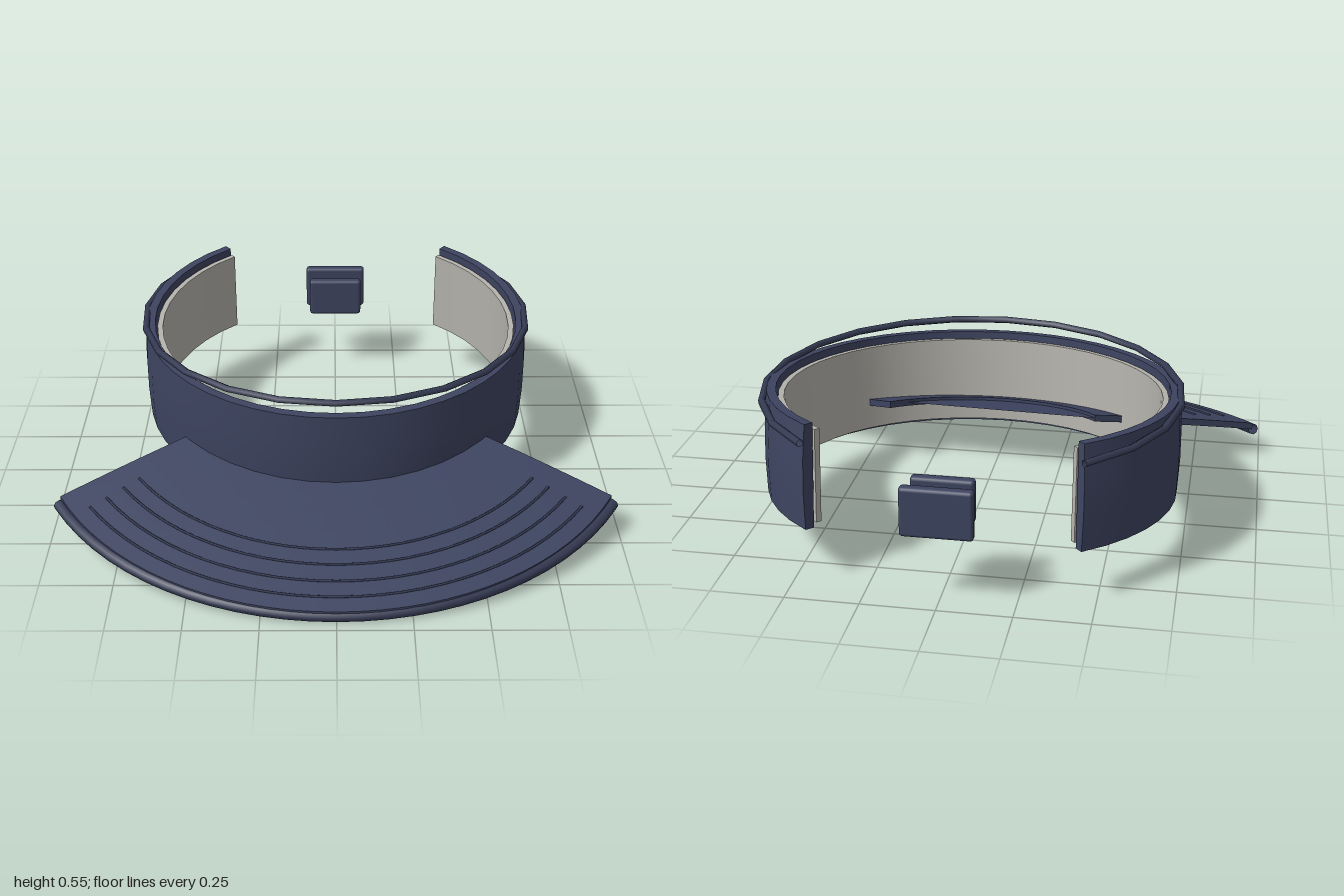
import * as THREE from 'three';
import { toCreasedNormals } from 'three/addons/utils/BufferGeometryUtils.js';
import { RoundedBoxGeometry } from 'three/addons/geometries/RoundedBoxGeometry.js';

const HEAD_Z = -0.33;   // centre of the headband
const BRIM_Z = -0.16;   // centre of the brim's arcs
const HALF_BAND = THREE.MathUtils.degToRad(141.2);
const HALF_BRIM = Math.PI / 3;

// Height of the brim's top: sloping forward, drooping to the sides
const brimY = (x, z) => 0.297 - 0.255 * z - 0.057 * x * x;

function brimPoint(r, angle, lift = 0, stretch = 1) {
  const x = r * stretch * Math.sin(angle);
  const z = BRIM_Z + r * Math.cos(angle);
  return new THREE.Vector3(x, brimY(x, z) + lift, z);
}

export function createModel() {
  const model = new THREE.Group();
  const material = (name, color) =>
    new THREE.MeshStandardMaterial({ name, color, side: THREE.DoubleSide });
  const navy = material('navy', 0x3d4460);
  const darkNavy = material('darkNavy', 0x353b54);
  const cream = material('cream', 0xb5b3ac);

  function add(name, geometry, mat, parent = model) {
    const mesh = new THREE.Mesh(geometry, mat);
    mesh.name = name;
    parent.add(mesh);
    return mesh;
  }

  // Arc of tube through points given by a function of the angle
  function arcTube(name, half, count, radius, sides, mat, pointAt) {
    const points = [];
    for (let i = 0; i <= count; i++) points.push(pointAt(-half + (2 * half * i) / count));
    add(name, new THREE.TubeGeometry(new THREE.CatmullRomCurve3(points), count, radius, sides), mat);
  }

  // Open ring: closed section turned around the head, with end caps
  function openRing(name, section, mat, parent) {
    const points = section.map(([r, y]) => new THREE.Vector2(r, y));
    const ring = new THREE.LatheGeometry([...points, points[0]], 36, -HALF_BAND, 2 * HALF_BAND);
    add(name, toCreasedNormals(ring, 0.6), mat, parent);
    for (const side of [-1, 1]) {
      const cap = new THREE.ShapeGeometry(new THREE.Shape(points));
      cap.rotateY(side * HALF_BAND - Math.PI / 2);
      add(name + 'End', cap, mat, parent);
    }
  }

  // Headband, raised at the back, with its lining
  const headband = new THREE.Group();
  headband.name = 'headband';
  headband.position.set(0, 0.157, HEAD_Z);
  headband.rotation.x = 0.078;
  model.add(headband);
  openRing('band', [[0.685, 0], [0.718, 0], [0.724, 0.12], [0.723, 0.24], [0.714, 0.36], [0.682, 0.36]],
    navy, headband);
  openRing('sweatband', [[0.655, 0.015], [0.675, 0.015], [0.675, 0.335], [0.655, 0.335]],
    cream, headband);

  // Level piping around the top of the band
  arcTube('topPiping', HALF_BAND, 18, 0.013, 6, darkNavy,
    (a) => new THREE.Vector3(0.722 * Math.sin(a), 0.51, HEAD_Z + 0.725 * Math.cos(a)));

  // Brim: a slab bent into a curved sector
  const brim = new THREE.BoxGeometry(1, 1, 1, 32, 1, 8);
  const pos = brim.attributes.position;
  for (let i = 0; i < pos.count; i++) {
    const r = 0.45 + (pos.getZ(i) + 0.5) * 0.67;
    const p = brimPoint(r, pos.getX(i) * 2 * HALF_BRIM, (pos.getY(i) - 0.5) * 0.026);
    pos.setXYZ(i, p.x, p.y, p.z);
  }
  brim.computeVertexNormals();
  add('brim', toCreasedNormals(brim, 0.6), navy);

  // Flat web filling the brim's inner curve
  const arc = [];
  for (let i = 0; i <= 18; i++) {
    const p = brimPoint(0.452, -HALF_BRIM + (i / 18) * 1.9);
    arc.push(new THREE.Vector2(p.x, -p.z));
  }
  const web = new THREE.ShapeGeometry(new THREE.Shape(arc));
  web.rotateX(-Math.PI / 2);
  const wp = web.attributes.position;
  for (let i = 0; i < wp.count; i++) wp.setY(i, brimY(wp.getX(i), wp.getZ(i)) - 0.012);
  web.computeVertexNormals();
  add('innerWeb', web, navy);

  // Rim along the outer edge and rows of stitching
  arcTube('brimRim', HALF_BRIM * 0.985, 28, 0.021, 8, darkNavy,
    (a) => brimPoint(1.108, a, -0.026, 1.025));
  for (const r of [0.86, 0.925, 0.995, 1.06]) {
    arcTube('brimStitching', 0.94, 28, 0.005, 5, darkNavy, (a) => brimPoint(r, a, 0.001));
  }

  // Two fastener pads at the back
  for (const [name, w, h, z] of [['outerPad', 0.24, 0.17, -0.96], ['innerPad', 0.21, 0.15, -0.855]]) {
    add(name, new RoundedBoxGeometry(w, h, 0.04, 2, 0.012), navy).position.set(0, 0.335, z);
  }
  return model;
}
